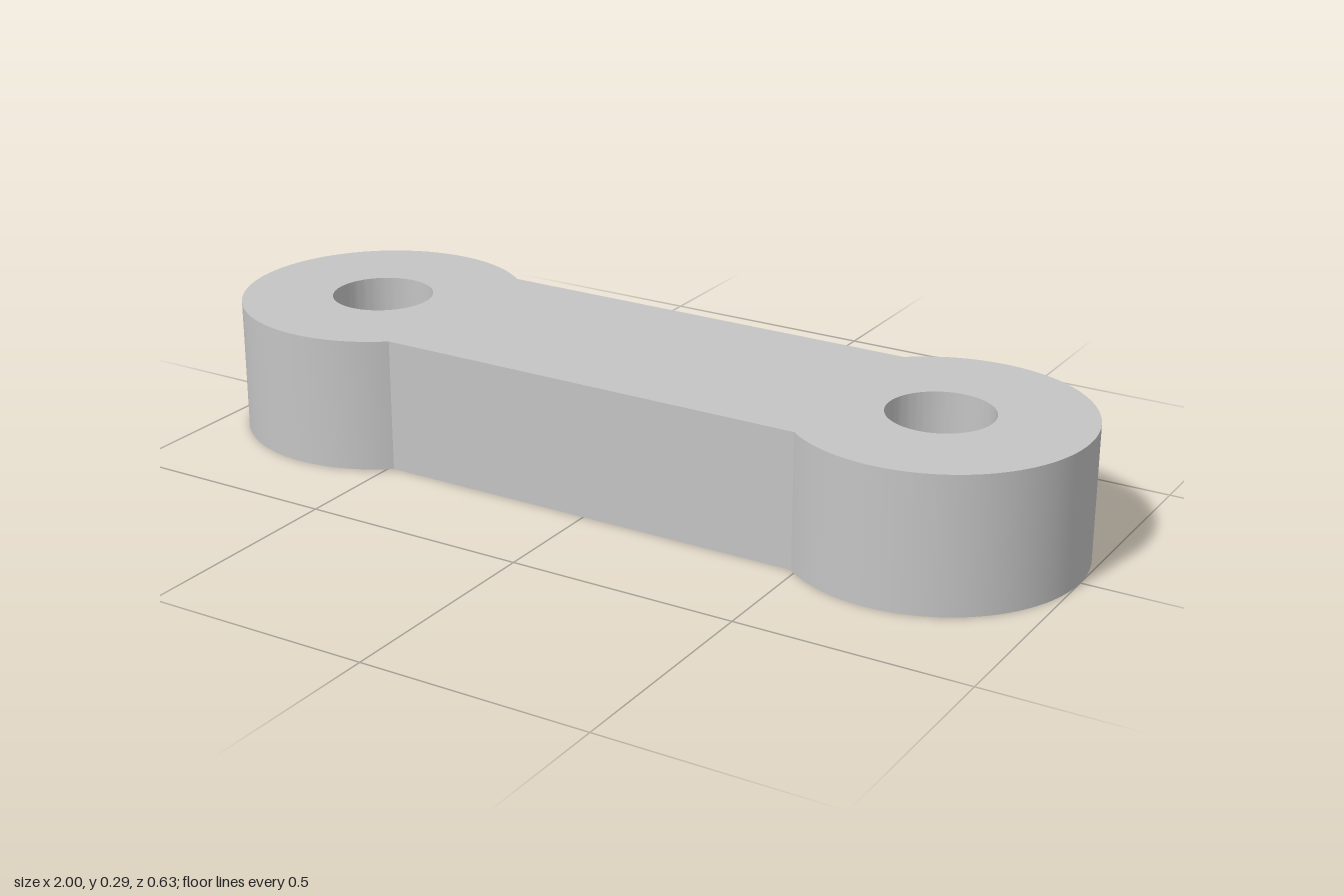
import * as THREE from 'three';
import { toCreasedNormals } from 'three/addons/utils/BufferGeometryUtils.js';

const HEAD_X = 0.6865;     // centre of each round end
const HEAD_R = 0.3135;     // radius of each round end
const HOLE_R = 0.112;      // radius of the pin holes
const BAR_HALF = 0.243;    // half width of the straight bar
const HEIGHT = 0.295;

export function createModel() {
  const group = new THREE.Group();
  group.name = 'linkArm';

  const grey = new THREE.MeshStandardMaterial({ color: 0xc4c4c4 });
  grey.name = 'light grey';

  // Outline: two round ends joined by the narrower bar
  const a = Math.asin(BAR_HALF / HEAD_R);
  const outline = new THREE.Shape();
  outline.absarc(HEAD_X, 0, HEAD_R, -(Math.PI - a), Math.PI - a, false);
  outline.absarc(-HEAD_X, 0, HEAD_R, a, 2 * Math.PI - a, false);
  outline.closePath();

  // Pin holes through both ends
  for (const side of [-1, 1]) {
    const hole = new THREE.Path();
    hole.absarc(side * HEAD_X, 0, HOLE_R, 0, 2 * Math.PI, true);
    outline.holes.push(hole);
  }

  // Extrude upwards, smooth round walls, sharp edges
  let geometry = new THREE.ExtrudeGeometry(outline, {
    depth: HEIGHT, bevelEnabled: false, curveSegments: 48,
  });
  geometry.rotateX(-Math.PI / 2);
  geometry = toCreasedNormals(geometry, 0.4);

  const link = new THREE.Mesh(geometry, grey);
  link.name = 'linkPlate';
  group.add(link);
  return group;
}
